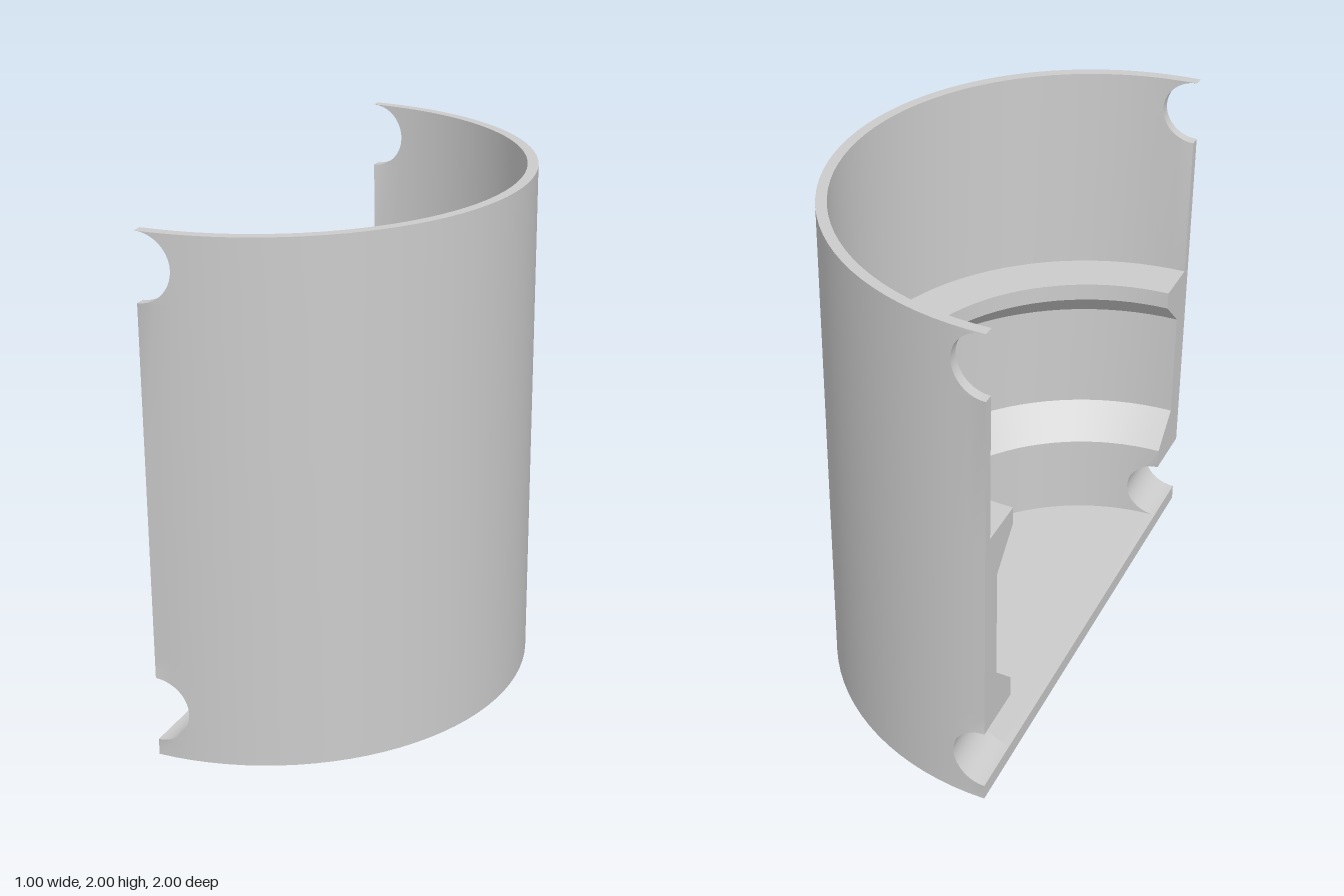
import * as THREE from 'three';
import { toCreasedNormals } from 'three/addons/utils/BufferGeometryUtils.js';

const SEGMENTS = 48;
const NOTCH_R = 0.127;
const NOTCHES = [0.19, 1.873]; // heights of the cross holes on the cut plane

// Depth of the cut edge at height y: zero except inside a round notch
function cutDepth(y) {
  let d = 0;
  for (const c of NOTCHES) d = Math.max(d, Math.sqrt(Math.max(0, NOTCH_R ** 2 - (y - c) ** 2)));
  return d < 1e-5 ? 0 : d;
}

// Rows along a notch, spaced evenly around its arc
function notchRows(innerR, centre, steps = 20) {
  const rows = [];
  for (let i = 0; i <= steps; i++) {
    rows.push([innerR, centre - NOTCH_R * Math.cos((Math.PI * i) / steps)]);
  }
  return rows;
}

function createHalfCupGeometry() {
  // Inner radius and height, from the base up; the outer radius is always 1
  const rows = [
    [0, 0], [0, 0.063],
    ...notchRows(0.77, NOTCHES[0]),
    [0.77, 0.4], [0.9, 0.525], [0.9, 0.975],
    [0.77, 1.1], [0.77, 1.17], [0.96, 1.17],
    ...notchRows(0.96, NOTCHES[1]),
  ];
  const inner = rows;
  const outer = rows.map(([, y]) => [1, y]);
  const loop = [...outer, ...[...inner].reverse()];

  // Point on the sweep, held back to the cut edge
  const point = ([r, y], k) => {
    const start = r > 0 ? Math.asin(cutDepth(y) / r) : 0;
    const t = THREE.MathUtils.clamp((Math.PI * k) / SEGMENTS, start, Math.PI - start);
    return new THREE.Vector3(r * Math.sin(t), y, r * Math.cos(t));
  };

  const positions = [];
  const triangle = (a, b, c) => {
    const area = b.clone().sub(a).cross(c.clone().sub(a)).length();
    if (area > 1e-9) for (const p of [a, b, c]) positions.push(p.x, p.y, p.z);
  };
  const quad = (a, b, c, d) => {
    triangle(a, b, c);
    triangle(a, c, d);
  };

  // Outer wall, rim, stepped inside, floor and underside
  loop.forEach((p, i) => {
    const q = loop[(i + 1) % loop.length];
    for (let k = 0; k < SEGMENTS; k++) {
      quad(point(p, k), point(p, k + 1), point(q, k + 1), point(q, k));
    }
  });

  // Cut faces on both ends, following the notches
  for (let i = 0; i < rows.length - 1; i++) {
    const corners = [inner[i], outer[i], outer[i + 1], inner[i + 1]];
    quad(...corners.map((p) => point(p, 0)));
    quad(...corners.reverse().map((p) => point(p, SEGMENTS)));
  }

  const geometry = new THREE.BufferGeometry();
  geometry.setAttribute('position', new THREE.Float32BufferAttribute(positions, 3));
  return toCreasedNormals(geometry, 0.4);
}

export function createModel() {
  const group = new THREE.Group();
  group.name = 'halfCup';
  const material = new THREE.MeshStandardMaterial({ color: 0xcccccc });
  const body = new THREE.Mesh(createHalfCupGeometry(), material);
  body.name = 'cutawayBody';
  body.position.x = -0.5;
  group.add(body);
  return group;
}
